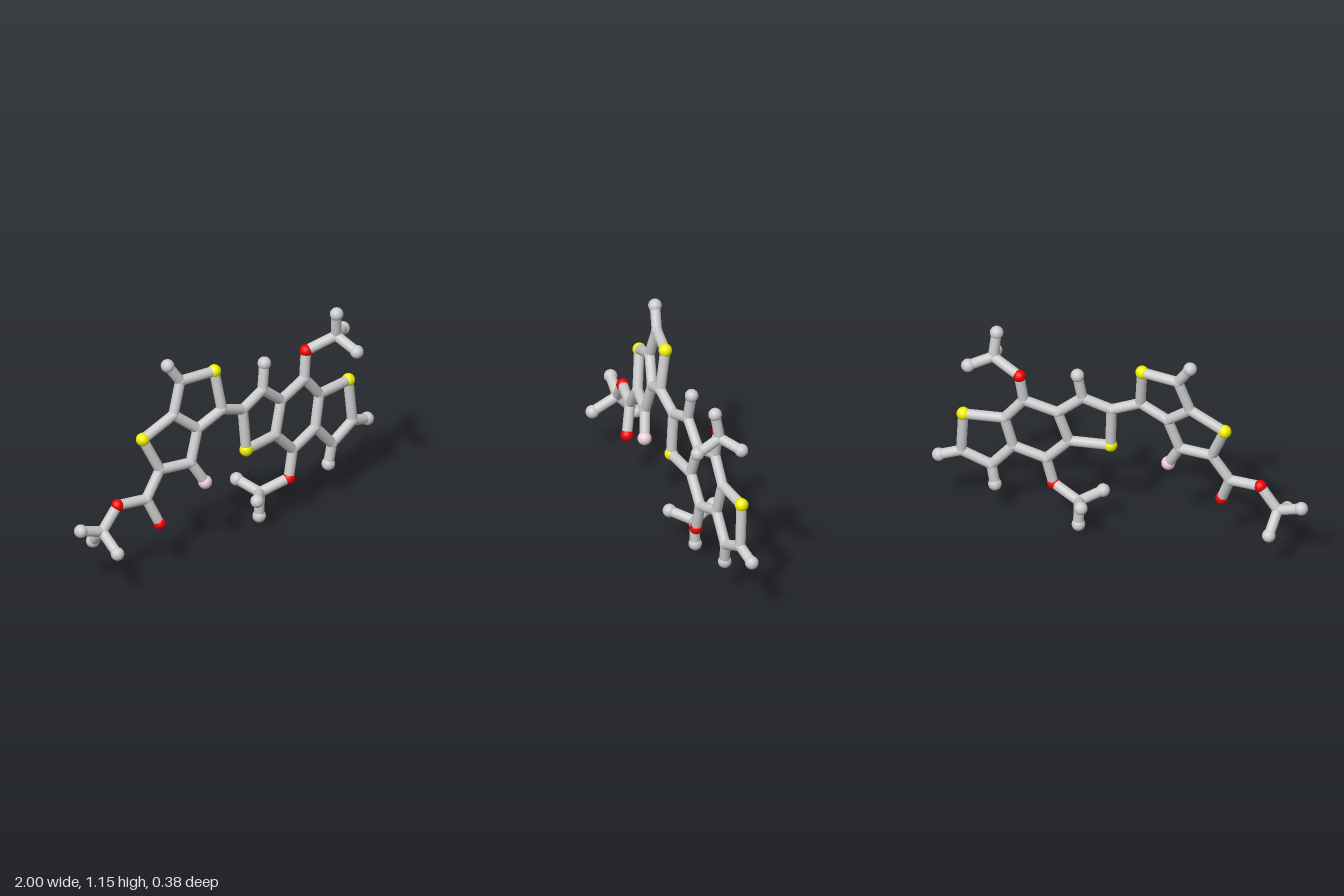
import * as THREE from 'three';

const BOND_RADIUS = 0.027;
const grey = new THREE.MeshStandardMaterial({ color: 0xcccccc });
const kinds = {
  joint: { radius: 0.029, material: grey },
  end: { radius: 0.035, material: grey },
  yellow: { radius: 0.035, material: new THREE.MeshStandardMaterial({ color: 0xf0f000 }) },
  red: { radius: 0.033, material: new THREE.MeshStandardMaterial({ color: 0xf00000 }) },
  pink: { radius: 0.036, material: new THREE.MeshStandardMaterial({ color: 0xf0d0d4 }) },
};

// Each flat ring system lies on a slightly tilted plane
const leftPlane = (x, y) => -0.012 + 0.179 * (x + 0.11) - 0.149 * (y - 1.01);
const rightPlane = (x, y) => 0.03 - 0.089 * (x - 0.07) - 0.071 * (y - 0.505);

// name: [kind, x, y, z]; z is taken from the plane where omitted
const leftAtoms = {
  tipTop: ['end', -0.38, 1.115, -0.067],
  a1: ['joint', -0.31, 1.01],
  a2: ['yellow', -0.11, 1.01],
  a3: ['joint', -0.09, 0.795],
  a4: ['joint', -0.24, 0.73],
  a5: ['joint', -0.37, 0.84],
  a6: ['yellow', -0.56, 0.757],
  a7: ['joint', -0.48, 0.57],
  a8: ['joint', -0.30, 0.56],
  pinkTip: ['pink', -0.23, 0.435, 0.053],
  b1: ['joint', -0.575, 0.435],
  b2: ['red', -0.52, 0.29, 0.03],
  b3: ['red', -0.745, 0.447, -0.04],
  b4: ['joint', -0.84, 0.325, -0.05],
  b5: ['end', -0.97, 0.367, -0.067],
  b6: ['end', -0.82, 0.225, -0.145],
  b7: ['end', -0.853, 0.254, 0.083],
};
const rightAtoms = {
  c1: ['joint', 0.06, 0.735],
  c2: ['yellow', 0.07, 0.505],
  c3: ['joint', 0.21, 0.79],
  c4: ['end', 0.233, 0.93],
  c5: ['joint', 0.34, 0.68],
  c6: ['joint', 0.285, 0.505],
  c7: ['joint', 0.515, 0.735],
  c8: ['joint', 0.617, 0.607],
  c9: ['joint', 0.575, 0.435],
  c10: ['joint', 0.405, 0.377],
  d1: ['yellow', 0.83, 0.605, -0.043],
  d2: ['joint', 0.845, 0.37],
  d3: ['end', 0.96, 0.333, -0.045],
  d4: ['joint', 0.69, 0.30],
  d5: ['end', 0.67, 0.187, -0.016],
  e1: ['red', 0.535, 0.885, -0.036],
  e2: ['joint', 0.69, 0.94, 0.02],
  e3: ['end', 0.677, 1.077, 0.04],
  e4: ['end', 0.803, 0.912, -0.053],
  e5: ['end', 0.715, 0.89, 0.153],
  f1: ['red', 0.37, 0.227, 0.018],
  f2: ['joint', 0.22, 0.175, -0.035],
  f3: ['end', 0.22, 0.037, -0.04],
  f4: ['end', 0.118, 0.2, 0.06],
  f5: ['end', 0.173, 0.219, -0.16],
};

// Chains of connected atoms, one string per path
const paths = {
  leftRings: ['tipTop a1 a2 a3 a4 a5 a1', 'a5 a6 a7 a8 a4', 'a8 pinkTip'],
  sideArm: ['a7 b1 b2', 'b1 b3 b4 b5', 'b6 b4 b7'],
  link: ['a3 c1'],
  rightRings: ['c6 c2 c1 c3 c5 c6 c10 c9 c8 c7 c5', 'c3 c4', 'c8 d1 d2 d4 c9', 'd2 d3', 'd4 d5'],
  upperArm: ['c7 e1 e2 e3', 'e4 e2 e5'],
  lowerArm: ['c10 f1 f2 f3', 'f4 f2 f5'],
};

const UP = new THREE.Vector3(0, 1, 0);

function makeBond(a, b) {
  const dir = b.clone().sub(a);
  const geometry = new THREE.CylinderGeometry(BOND_RADIUS, BOND_RADIUS, dir.length(), 20, 1, true);
  const bond = new THREE.Mesh(geometry, grey);
  bond.position.copy(a).add(b).multiplyScalar(0.5);
  bond.quaternion.setFromUnitVectors(UP, dir.normalize());
  bond.name = 'bondRod';
  return bond;
}

export function createModel() {
  const model = new THREE.Group();
  model.name = 'stickMolecule';
  const points = {};

  // Balls at the atoms
  const addAtoms = (atoms, plane, groupName) => {
    const group = new THREE.Group();
    group.name = groupName;
    for (const [id, [kind, x, y, z = plane(x, y)]] of Object.entries(atoms)) {
      const { radius, material } = kinds[kind];
      points[id] = new THREE.Vector3(x, y, z);
      const ball = new THREE.Mesh(new THREE.SphereGeometry(radius, 24, 16), material);
      ball.position.copy(points[id]);
      ball.name = `${kind}Ball`;
      group.add(ball);
    }
    model.add(group);
  };
  addAtoms(leftAtoms, leftPlane, 'fusedPairBalls');
  addAtoms(rightAtoms, rightPlane, 'fusedTripleBalls');

  // Rods along every path
  for (const [name, chains] of Object.entries(paths)) {
    const group = new THREE.Group();
    group.name = `${name}Rods`;
    for (const chain of chains) {
      const ids = chain.split(' ');
      for (let i = 1; i < ids.length; i++) group.add(makeBond(points[ids[i - 1]], points[ids[i]]));
    }
    model.add(group);
  }
  return model;
}
